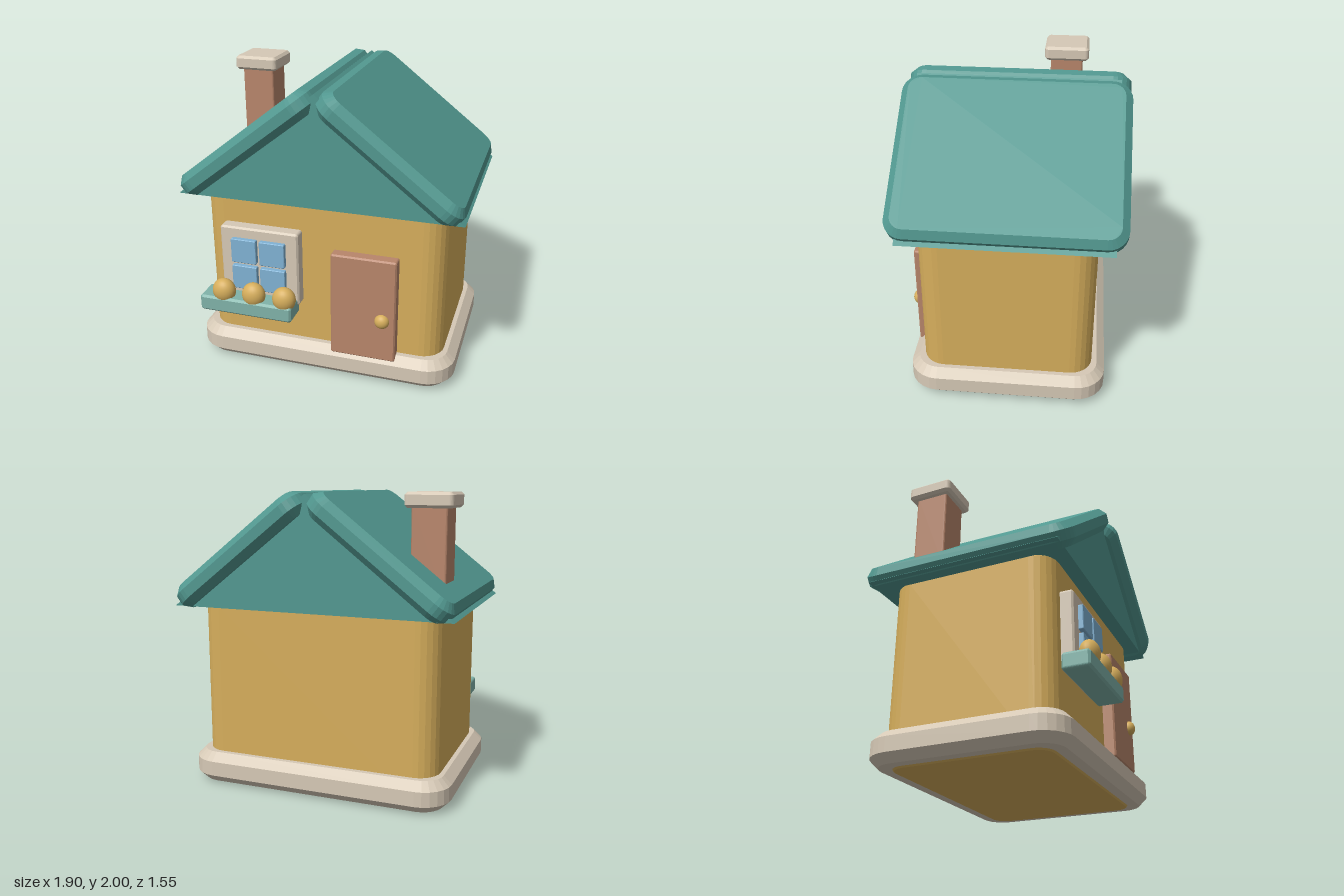
import * as THREE from 'three';

const mat = (name, color) => {
  const m = new THREE.MeshStandardMaterial({ color });
  m.name = name;
  return m;
};

// Rounded rectangle w x h, extruded along z to depth d with a chamfered rim, centred on the origin
function chamferedBlock(w, h, d, radius, bevel) {
  const x = w / 2 - bevel, y = h / 2 - bevel, r = Math.max(radius - bevel, 0.005);
  const s = new THREE.Shape();
  s.moveTo(-x + r, -y);
  s.lineTo(x - r, -y);
  s.absarc(x - r, -y + r, r, -Math.PI / 2, 0);
  s.lineTo(x, y - r);
  s.absarc(x - r, y - r, r, 0, Math.PI / 2);
  s.lineTo(-x + r, y);
  s.absarc(-x + r, y - r, r, Math.PI / 2, Math.PI);
  s.lineTo(-x, -y + r);
  s.absarc(-x + r, -y + r, r, Math.PI, Math.PI * 1.5);
  const g = new THREE.ExtrudeGeometry(s, {
    depth: d - 2 * bevel, curveSegments: 3,
    bevelEnabled: true, bevelThickness: bevel, bevelSize: bevel, bevelSegments: 1,
  });
  return g.translate(0, 0, bevel - d / 2);
}

export function createModel() {
  const house = new THREE.Group();
  house.name = 'cottage';

  const wall = mat('ochre', 0xd6ae5c);
  const roof = mat('teal', 0x529890);
  const stone = mat('stone', 0xd6c9b6);
  const wood = mat('terracotta', 0xb8866b);
  const glass = mat('glass blue', 0x80b2d4);
  const planter = mat('pale teal', 0x80b3a9);

  const add = (name, geometry, material, x, y, z, parent = house) => {
    const m = new THREE.Mesh(geometry, material);
    m.name = name;
    m.position.set(x, y, z);
    parent.add(m);
    return m;
  };
  // Block lying flat (outline in the ground plane) given by its extents
  const flat = (name, material, [x0, x1], [y0, y1], [z0, z1], radius, bevel) =>
    add(name, chamferedBlock(x1 - x0, z1 - z0, y1 - y0, radius, bevel).rotateX(-Math.PI / 2),
      material, (x0 + x1) / 2, (y0 + y1) / 2, (z0 + z1) / 2);
  // Block facing the front given by its extents
  const facing = (name, material, [x0, x1], [y0, y1], [z0, z1], radius, bevel) =>
    add(name, chamferedBlock(x1 - x0, y1 - y0, z1 - z0, radius, bevel),
      material, (x0 + x1) / 2, (y0 + y1) / 2, (z0 + z1) / 2);
  const ball = (name, material, x, y, z, rx, ry, rz) =>
    add(name, new THREE.SphereGeometry(1, 24, 16), material, x, y, z).scale.set(rx, ry, rz);

  // Foundation and walls
  flat('foundation', stone, [-0.915, 0.915], [0.01, 0.22], [-0.69, 0.635], 0.2, 0.055);
  flat('walls', wall, [-0.83, 0.83], [0, 1.29], [-0.6, 0.545], 0.15, 0.05);

  // Gable prism under the roof
  const eave = 0.95, eaveY = 1.245, ridgeY = 1.985;
  const triangle = new THREE.Shape();
  triangle.moveTo(-eave, eaveY);
  triangle.lineTo(eave, eaveY);
  triangle.lineTo(0, ridgeY);
  add('gable', new THREE.ExtrudeGeometry(triangle, { depth: 1.34, bevelEnabled: false }),
    roof, 0, 0, -0.7);

  // Two roof slabs, centred on the gable slopes
  const pitch = Math.atan2(ridgeY - eaveY, eave);
  for (const side of [-1, 1]) {
    const slab = add(side < 0 ? 'roofRight' : 'roofLeft',
      chamferedBlock(1.14, 1.486, 0.16, 0.13, 0.047).rotateX(-Math.PI / 2),
      roof, side * eave / 2, (eaveY + ridgeY) / 2, -0.029);
    slab.rotation.z = -side * pitch;
  }

  // Chimney
  flat('chimneyStack', wood, [-0.83, -0.6], [1.36, 1.92], [-0.44, -0.21], 0.015, 0.008);
  flat('chimneyCap', stone, [-0.873, -0.562], [1.9, 1.998], [-0.483, -0.168], 0.03, 0.018);

  // Door and knob
  facing('door', wood, [0.09, 0.535], [0.185, 0.93], [0.52, 0.622], 0.015, 0.01);
  ball('doorKnob', wall, 0.445, 0.49, 0.622, 0.05, 0.05, 0.042);

  // Window frame with four panes
  facing('windowFrame', stone, [-0.677, -0.127], [0.51, 1.04], [0.52, 0.63], 0.02, 0.012);
  for (const xs of [[-0.59, -0.413], [-0.39, -0.213]])
    for (const ys of [[0.6, 0.772], [0.795, 0.967]])
      facing('windowPane', glass, xs, ys, [0.6, 0.663], 0.006, 0.004);

  // Flower box
  facing('flowerBox', planter, [-0.795, -0.14], [0.45, 0.562], [0.585, 0.765], 0.02, 0.014);
  for (const x of [-0.635, -0.42, -0.203])
    ball('flower', wall, x, 0.598, 0.711, 0.081, 0.086, 0.064);

  return house;
}
